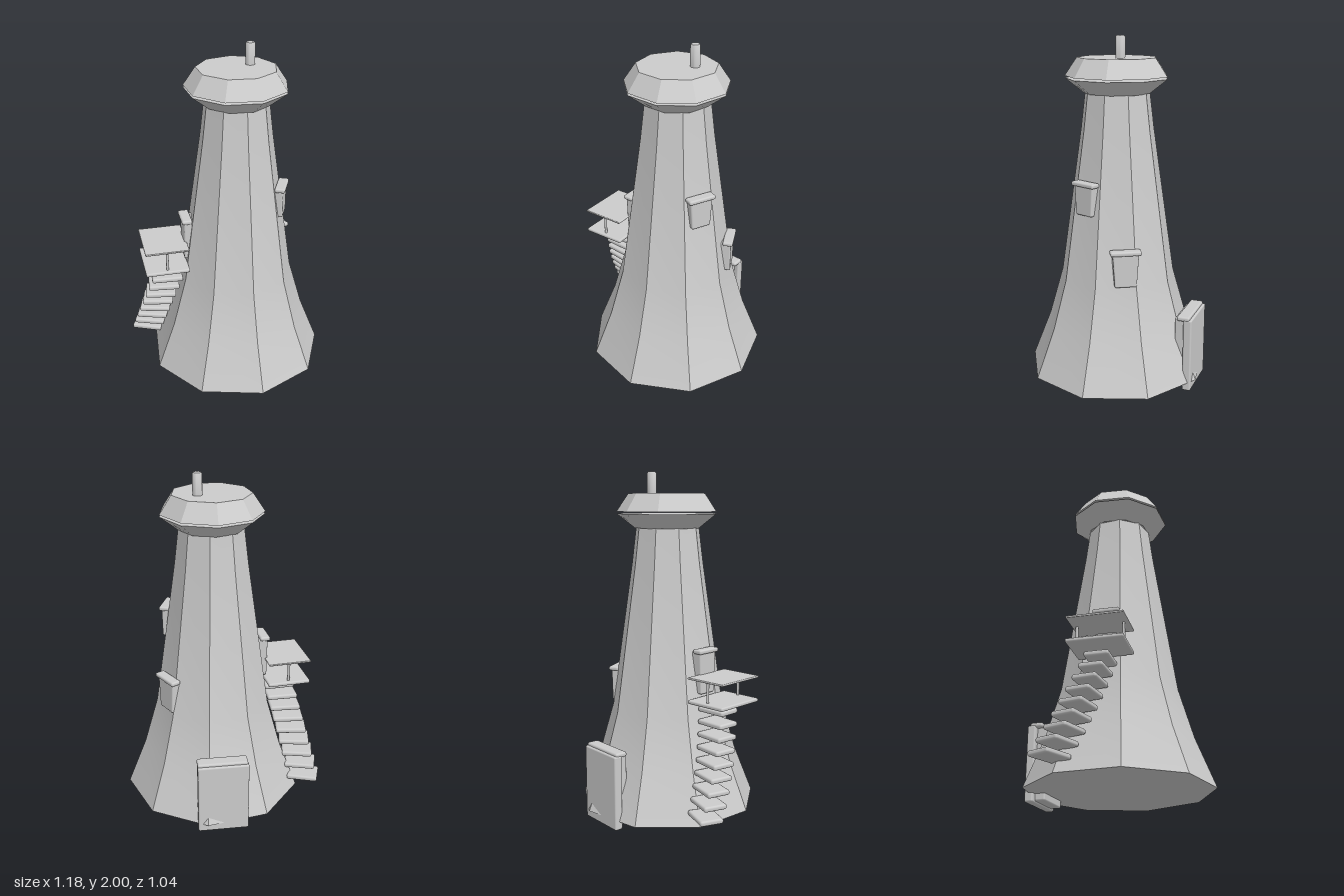
import * as THREE from 'three';
import { toCreasedNormals } from 'three/addons/utils/BufferGeometryUtils.js';
import { RoundedBoxGeometry } from 'three/addons/geometries/RoundedBoxGeometry.js';

const material = new THREE.MeshStandardMaterial({ color: 0xcccccc });
const deg = THREE.MathUtils.degToRad;

function add(parent, name, geometry, x = 0, y = 0, z = 0) {
  const mesh = new THREE.Mesh(geometry, material);
  mesh.name = name;
  mesh.position.set(x, y, z);
  parent.add(mesh);
  return mesh;
}

// nine-sided turned solid, profile given bottom to top as [radius, y]
function nineSided(profile, start) {
  const points = profile.map(([r, y]) => new THREE.Vector2(r, y));
  return toCreasedNormals(new THREE.LatheGeometry(points, 9, start), deg(30));
}

const slab = (w, h, d, r = 0.4) => new RoundedBoxGeometry(w, h, d, 2, Math.min(w, h, d) * r);

// rounded block that narrows towards the bottom
function taperedBlock(w, h, d, bottomScale) {
  const geometry = slab(w, h, d, 0.12);
  const p = geometry.attributes.position;
  for (let i = 0; i < p.count; i++) {
    p.setZ(i, p.getZ(i) * THREE.MathUtils.lerp(bottomScale, 1, p.getY(i) / h + 0.5));
  }
  return geometry;
}

// group turned about the tower axis; its local +x points outwards
function radialGroup(parent, name, angle) {
  const group = new THREE.Group();
  group.name = name;
  group.rotation.y = -deg(angle);
  parent.add(group);
  return group;
}

// window: tapered body under a lintel, placed on the wall
function addWindow(parent, name, angle, outer, bottom, top, width) {
  const group = radialGroup(parent, name, angle);
  const h = top - bottom - 0.015;
  add(group, 'windowBody', taperedBlock(0.08, h, width * 0.85, 0.83), outer - 0.052, bottom + h / 2, 0);
  add(group, 'windowLintel', slab(0.06, 0.026, width), outer - 0.03, top - 0.013, 0);
}

export function createModel() {
  const model = new THREE.Group();
  model.name = 'tower';

  // everything round is centred on the tower axis
  const axis = new THREE.Group();
  axis.name = 'towerAxis';
  axis.position.x = 0.058;
  model.add(axis);

  // flared tower wall
  add(axis, 'wall', nineSided([
    [0, 0.05], [0.53, 0.05], [0.42, 0.33], [0.337, 0.62], [0.211, 1.48], [0.183, 1.71], [0, 1.71],
  ], Math.PI / 2));

  // roof: flaring eaves with a bevelled cap above a thin gap
  add(axis, 'eaves', nineSided([[0, 1.68], [0.19, 1.68], [0.295, 1.762], [0, 1.762]], Math.PI));
  add(axis, 'roofCap', nineSided([[0, 1.774], [0.295, 1.774], [0.226, 1.876], [0, 1.876]], Math.PI));

  // chimney with softened top
  const chimney = [[0, 1.86], [0.027, 1.86], [0.027, 1.99], [0.022, 1.998], [0, 2]];
  add(model, 'chimney', toCreasedNormals(
    new THREE.LatheGeometry(chimney.map(([r, y]) => new THREE.Vector2(r, y)), 20), deg(40)), 0.14, 0, -0.05);

  // windows and the upper doorway
  addWindow(axis, 'highWindow', 20, 0.298, 1.02, 1.21, 0.165);
  addWindow(axis, 'lowWindow', -29.6, 0.35, 0.64, 0.85, 0.175);
  addWindow(axis, 'upperDoorway', 174.5, 0.335, 0.75, 1.01, 0.155);

  // entrance at the back
  const door = new THREE.Group();
  door.name = 'entrance';
  model.add(door);
  add(door, 'doorFrame', taperedBlock(0.23, 0.42, 0.08, 1), 0.06, 0.22, -0.437);
  add(door, 'doorLintel', slab(0.29, 0.028, 0.075), 0.06, 0.437, -0.454);
  add(door, 'doorPanel', slab(0.295, 0.435, 0.05, 0.2), 0.058, 0.2175, -0.48);

  // landing with a raised board on two posts
  const landing = radialGroup(axis, 'landing', 174.4);
  add(landing, 'landingFloor', slab(0.257, 0.022, 0.317), 0.438, 0.726, 0);
  add(landing, 'landingBoard', slab(0.257, 0.012, 0.317), 0.438, 0.861, 0);
  for (const side of [-1, 1]) {
    add(landing, 'landingPost', new THREE.CylinderGeometry(0.008, 0.008, 0.13, 12), 0.438, 0.795, side * 0.13);
  }

  // steps winding up to the landing
  for (let i = 0; i < 9; i++) {
    const step = radialGroup(axis, 'step', 198.5 - 2.9 * i);
    const outer = 0.662 * Math.pow(0.965, i);
    add(step, 'stepTread', slab(0.185, 0.03, 0.138), outer - 0.0925, 0.128 + 0.0677 * i, 0);
  }

  return model;
}
